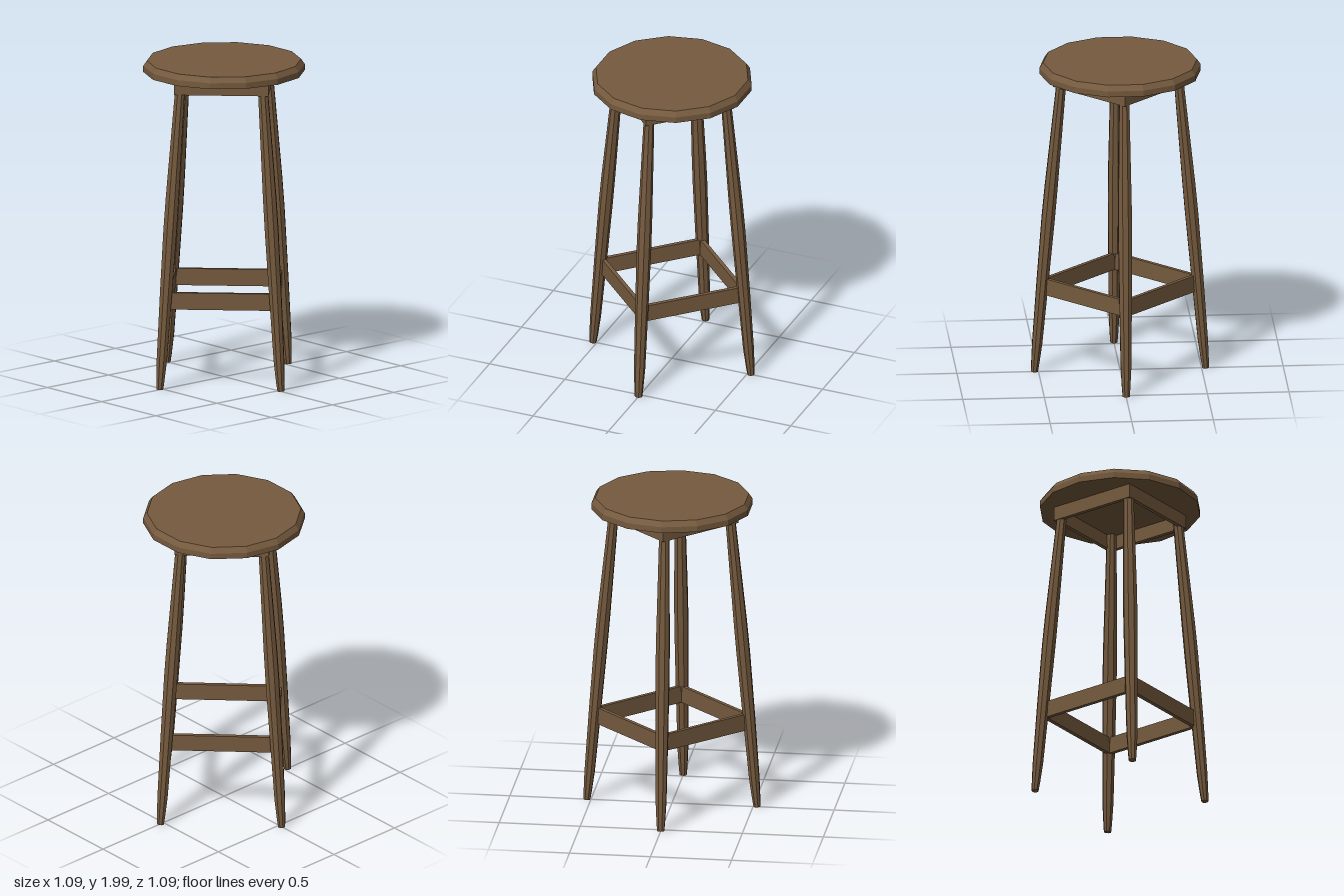
import * as THREE from 'three';

export function createModel() {
  const wood = new THREE.MeshStandardMaterial({ color: 0x755a3e });
  wood.name = 'brown wood';
  const stool = new THREE.Group();
  stool.name = 'stool';

  function add(parent, name, geometry) {
    const flat = geometry.index ? geometry.toNonIndexed() : geometry;
    flat.computeVertexNormals(); // crisp facets
    const mesh = new THREE.Mesh(flat, wood);
    mesh.name = name;
    parent.add(mesh);
    return mesh;
  }

  // Fourteen-sided seat with a chamfered upper rim
  const profile = [[0, 1.93], [0.495, 1.93], [0.495, 1.967], [0.472, 2], [0, 2]];
  add(stool, 'seat', new THREE.LatheGeometry(profile.map(p => new THREE.Vector2(...p)), 14));

  // Eight-sided leg: [height, distance from centre, radius] per ring
  const rings = [
    [0.01, 0.525, 0.022], [0.06, 0.52, 0.026], [0.19, 0.508, 0.033],
    [0.6, 0.474, 0.039], [1, 0.44, 0.043], [1.2, 0.422, 0.042], [1.94, 0.353, 0.03],
  ];
  function legGeometry() {
    const n = rings.length - 1;
    const geo = new THREE.CylinderGeometry(1, 1, n, 8, n, false, Math.PI / 8);
    const pos = geo.attributes.position;
    for (let i = 0; i < pos.count; i++) {
      const [y, out, r] = rings[Math.round(pos.getY(i) + n / 2)];
      const x = pos.getX(i) * r, z = pos.getZ(i) * r;
      // Each ring stays square to the splayed axis
      pos.setXYZ(i, x * 1.05, y + z * 0.09, out + z);
    }
    return geo;
  }

  // Board across one diagonal side, set between two neighbouring legs
  function board(parent, name, length, height, y, distance, thickness) {
    const mesh = add(parent, name, new THREE.BoxGeometry(length, height, thickness));
    mesh.position.set(distance * Math.SQRT1_2, y, distance * Math.SQRT1_2);
    mesh.rotation.y = Math.PI / 4;
  }

  // Leg, apron board and stretcher repeat four times
  for (let i = 0; i < 4; i++) {
    const side = new THREE.Group();
    side.name = 'side' + (i + 1);
    side.rotation.y = i * Math.PI / 2;
    add(side, 'leg', legGeometry());
    board(side, 'apronBoard', 0.579, 0.09, 1.887, 0.277, 0.025);
    board(side, 'stretcher', 0.65, 0.105, 0.558, 0.325, 0.025);
    stool.add(side);
  }
  return stool;
}
